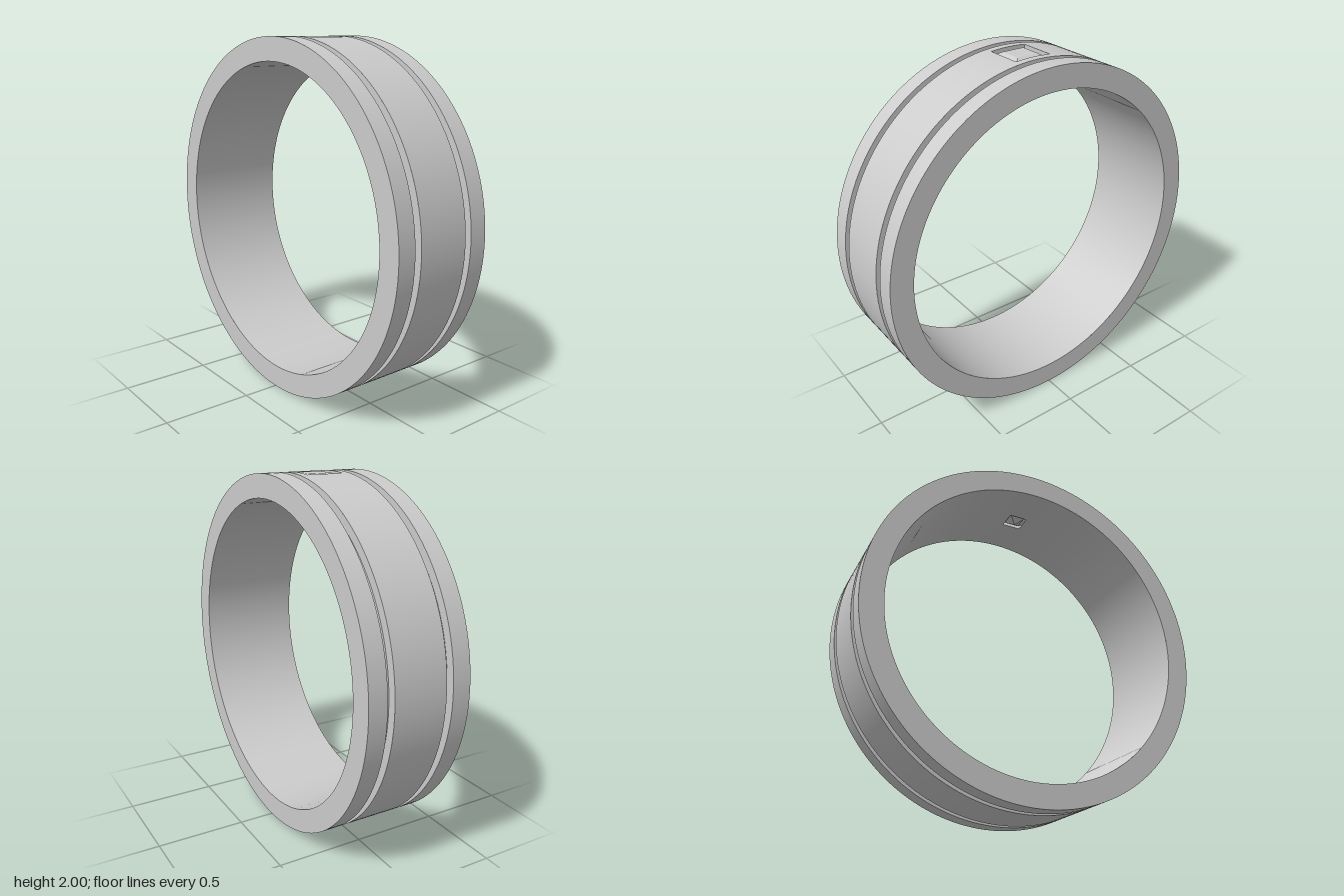
import * as THREE from 'three';

const OUTER = 1, INNER = 0.87, GROOVE = 0.952, HALF_WIDTH = 0.297;
const G0 = 0.152, G1 = 0.192;        // groove limits along z
const HOLE_TOP = 0.108, HOLE_BOTTOM = 0.055;
const N = 8;                         // steps along each side of the setting

const material = new THREE.MeshStandardMaterial({ color: 0xcccccc });

// One strip of the band, swept about the z axis; angle 0 is the top
function strip([r0, z0], [r1, z1], start = 0, length = Math.PI * 2, segments = 160) {
  const points = [new THREE.Vector2(r0, -z0), new THREE.Vector2(r1, -z1)];
  return new THREE.LatheGeometry(points, segments, start, length).rotateX(-Math.PI / 2);
}

// A cylindrical strip with a square opening of half-size h at the top
function stripWithOpening(a, b, h) {
  const angle = Math.asin(h / a[0]), s = Math.sign(a[1]) * h;
  return [
    strip(a, b, angle, Math.PI * 2 - 2 * angle),
    strip(a, [a[0], s], -angle, 2 * angle, N),
    strip([a[0], -s], b, -angle, 2 * angle, N),
  ];
}

// Flat-faceted skin over square cross-sections [half-size, height(x)]
function squareLoft(levels) {
  const corners = [[1, 1], [1, -1], [-1, -1], [-1, 1]];
  const loop = [];
  corners.forEach(([x, z], i) => {
    const [nx, nz] = corners[(i + 1) % 4];
    for (let k = 0; k < N; k++) loop.push([x + (nx - x) * k / N, z + (nz - z) * k / N]);
  });
  const positions = [];
  const put = ([h, y], i) => {
    const [x, z] = loop[i % loop.length];
    positions.push(x * h, typeof y === 'function' ? y(x * h) : y, z * h);
  };
  for (let l = 0; l < levels.length - 1; l++) {
    const low = levels[l], high = levels[l + 1];
    for (let i = 0; i < loop.length; i++) {
      if (low[0] > 0) { put(low, i); put(low, i + 1); put(high, i + 1); }
      if (high[0] > 0) { put(low, i); put(high, i + 1); put(high, i); }
    }
  }
  const geometry = new THREE.BufferGeometry();
  geometry.setAttribute('position', new THREE.Float32BufferAttribute(positions, 3));
  geometry.computeVertexNormals();
  return geometry;
}

export function createModel() {
  const model = new THREE.Group();
  model.name = 'ring';
  const band = new THREE.Group();
  band.name = 'band';
  model.add(band);

  const add = (parent, geometry, name) => {
    const mesh = new THREE.Mesh(geometry, material);
    mesh.name = name;
    mesh.position.y = OUTER;
    parent.add(mesh);
  };

  // Closed band section [radius, z] with two grooves
  const section = [
    [OUTER, HALF_WIDTH], [OUTER, G1], [GROOVE, G1], [GROOVE, G0], [OUTER, G0],
    [OUTER, -G0], [GROOVE, -G0], [GROOVE, -G1], [OUTER, -G1], [OUTER, -HALF_WIDTH],
    [INNER, -HALF_WIDTH], [INNER, HALF_WIDTH],
  ];
  const openings = { 4: HOLE_TOP, 10: HOLE_BOTTOM };
  const names = { 4: 'outerFace', 10: 'innerFace', 9: 'backFace', 11: 'frontFace',
    0: 'frontRim', 8: 'backRim' };
  section.forEach((a, i) => {
    const b = section[(i + 1) % section.length];
    const parts = openings[i] ? stripWithOpening(a, b, openings[i]) : [strip(a, b)];
    parts.forEach((g) => add(band, g, names[i] || 'groove'));
  });

  // Square setting cut through the band, narrowing below the stone
  const onCylinder = (r) => (x) => Math.sqrt(r * r - x * x);
  add(model, squareLoft([
    [HOLE_TOP, onCylinder(OUTER)],
    [HOLE_TOP, 0.945],
    [HOLE_BOTTOM, onCylinder(INNER)],
  ]), 'setting');

  // Square-cut stone: point, pavilion, girdle, crown and table
  add(model, squareLoft([
    [0, 0.848], [0.042, 0.877], [0.106, 0.946], [0.107, 0.955],
    [0.085, 0.983], [0.065, 0.995], [0, 0.995],
  ]), 'stone');

  return model;
}
